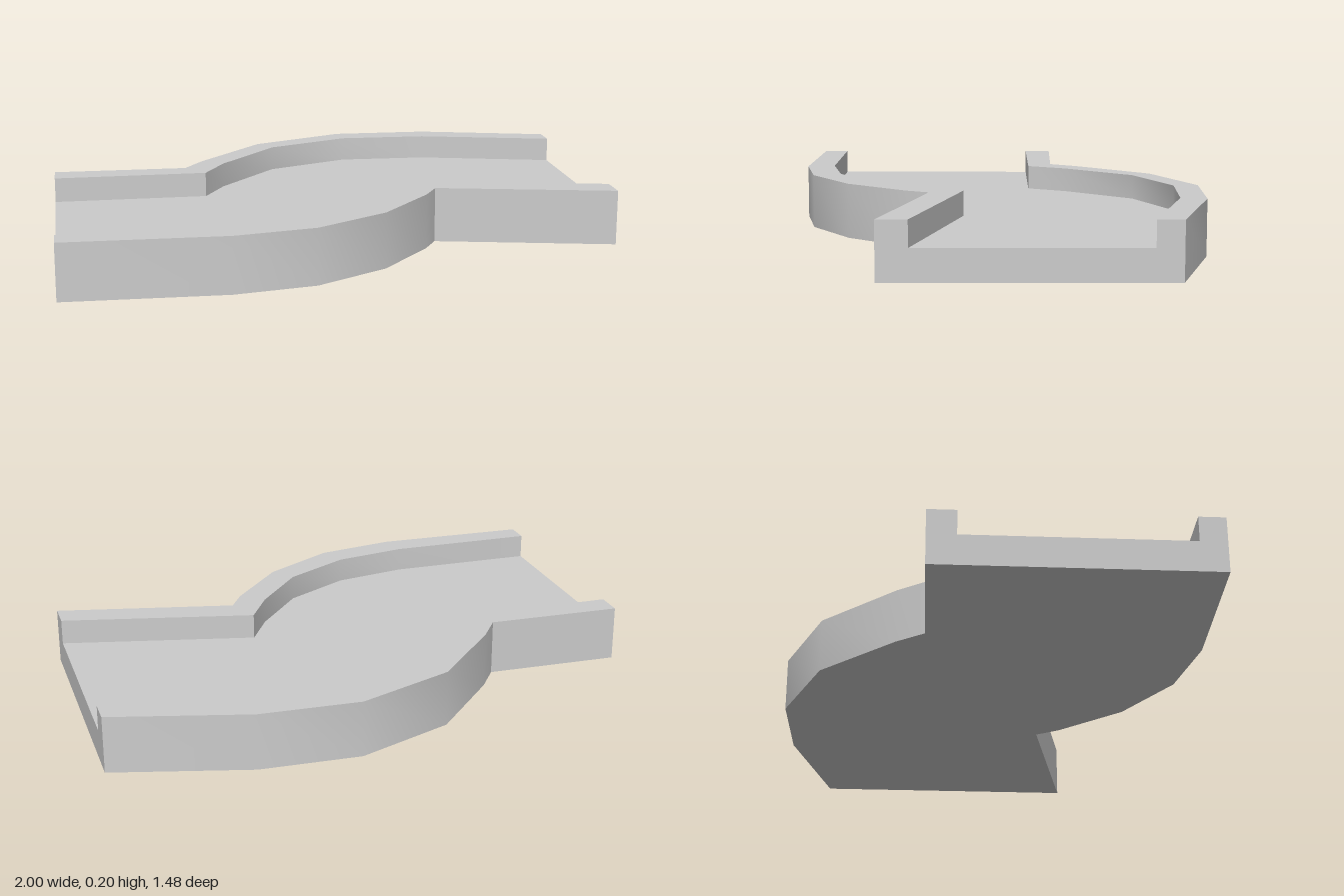
import * as THREE from 'three';
import { toCreasedNormals } from 'three/addons/utils/BufferGeometryUtils.js';

const HEIGHT = 0.2, FLOOR = 0.11;

// Plan lines of the two side walls as [x, z], from the right end to the left end
const backOuter = [[-1, -0.24], [-0.51, -0.23], [-0.44, -0.33], [-0.19, -0.6], [0.16, -0.742], [0.52, -0.73], [1, -0.6]];
const backInner = [[-1, -0.14], [-0.44, -0.14], [-0.36, -0.28], [-0.14, -0.53], [0.17, -0.653], [0.5, -0.64], [1, -0.51]];
const frontInner = [[-1, 0.635], [-0.45, 0.635], [-0.18, 0.585], [0.06, 0.45], [0.23, 0.245], [0.31, 0.105], [1, 0.265]];
const frontOuter = [[-1, 0.727], [-0.43, 0.738], [-0.14, 0.685], [0.12, 0.53], [0.31, 0.31], [0.36, 0.225], [1, 0.37]];

// U-shaped cross-section at station i, running from back to front
function section(i) {
  const at = (line, y) => [line[i][0], y, line[i][1]];
  return [
    at(backOuter, 0), at(backOuter, HEIGHT), at(backInner, HEIGHT), at(backInner, FLOOR),
    at(frontInner, FLOOR), at(frontInner, HEIGHT), at(frontOuter, HEIGHT), at(frontOuter, 0),
  ];
}

function channelGeometry() {
  const positions = [];
  const quad = (a, b, c, d) => positions.push(...a, ...b, ...c, ...a, ...c, ...d);
  const rings = backOuter.map((_, i) => section(i));

  // Skin between neighbouring cross-sections
  for (let i = 0; i < rings.length - 1; i++) {
    const a = rings[i], b = rings[i + 1];
    for (let j = 0; j < a.length; j++) {
      const k = (j + 1) % a.length;
      quad(a[j], a[k], b[k], b[j]);
    }
  }

  // End caps: two walls and the floor between them
  const first = rings[0], last = rings[rings.length - 1];
  for (const [a, b, c, d] of [[0, 1, 2, 3], [0, 3, 4, 7], [4, 5, 6, 7]]) {
    quad(last[a], last[b], last[c], last[d]);
    quad(first[d], first[c], first[b], first[a]);
  }

  const geometry = new THREE.BufferGeometry();
  geometry.setAttribute('position', new THREE.Float32BufferAttribute(positions, 3));
  return toCreasedNormals(geometry, 0.5);
}

export function createModel() {
  const model = new THREE.Group();
  model.name = 'curvedTrackPiece';
  const track = new THREE.Mesh(channelGeometry(), new THREE.MeshStandardMaterial({ color: 0xcccccc }));
  track.name = 'walledTrack';
  model.add(track);
  return model;
}
